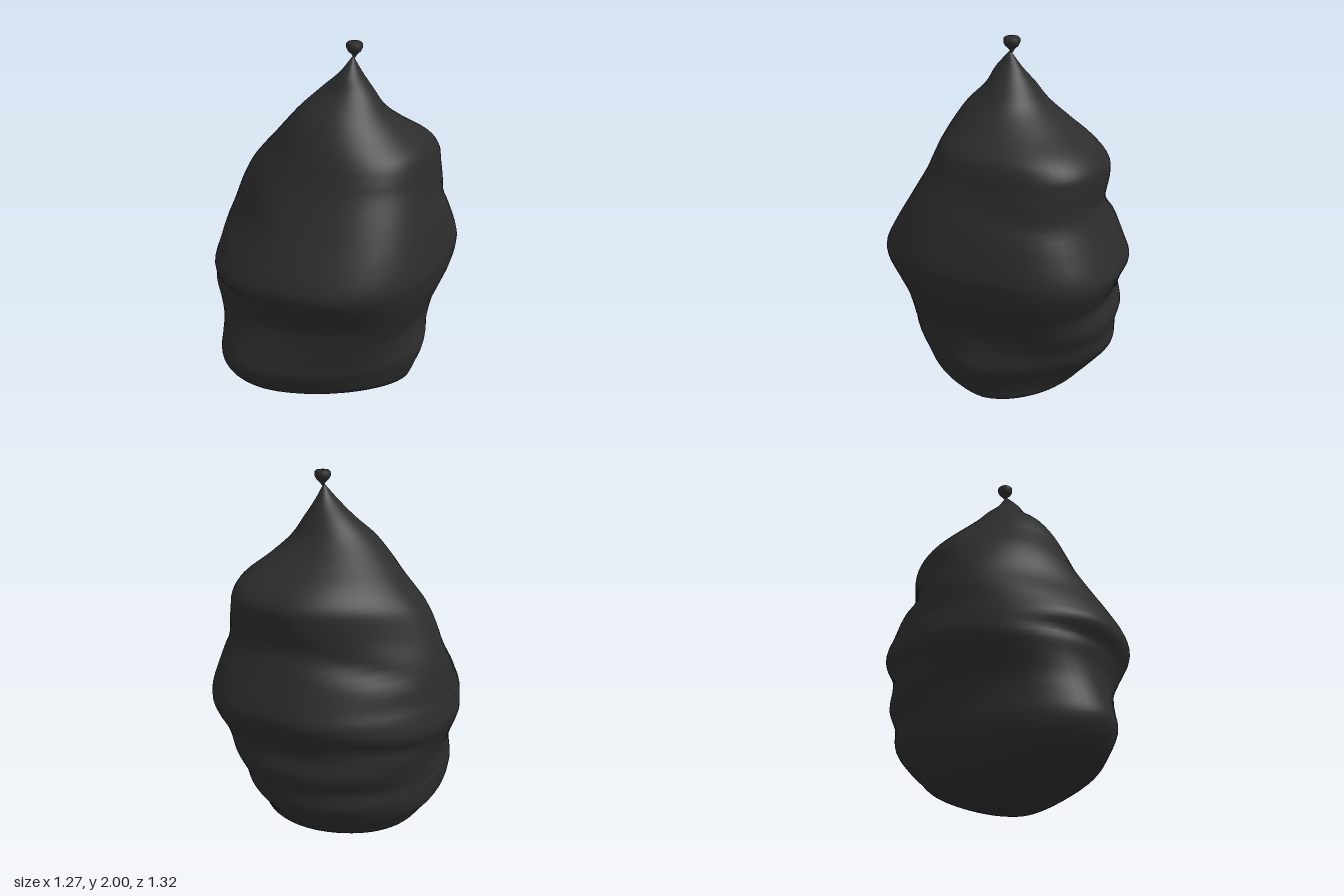
import * as THREE from 'three';

// Heights of the sack with its extents: y, left x, right x, front z, back z
const ROWS = [
  [0.0, 0.02, 0.03, -0.04, -0.05], [0.005, -0.19, 0.22, 0.12, -0.16],
  [0.03, -0.32, 0.35, 0.22, -0.27], [0.08, -0.42, 0.46, 0.36, -0.39],
  [0.14, -0.475, 0.5, 0.52, -0.455], [0.2, -0.52, 0.525, 0.59, -0.515],
  [0.3, -0.54, 0.555, 0.642, -0.59], [0.4, -0.54, 0.535, 0.622, -0.595],
  [0.5, -0.555, 0.535, 0.595, -0.615], [0.61, -0.6, 0.575, 0.582, -0.59],
  [0.71, -0.635, 0.61, 0.615, -0.63], [0.8, -0.625, 0.628, 0.655, -0.66],
  [0.88, -0.61, 0.633, 0.655, -0.64], [1.0, -0.6, 0.61, 0.59, -0.59],
  [1.15, -0.55, 0.57, 0.495, -0.535], [1.3, -0.48, 0.53, 0.405, -0.555],
  [1.38, -0.42, 0.52, 0.367, -0.55], [1.46, -0.345, 0.49, 0.33, -0.48],
  [1.55, -0.26, 0.39, 0.285, -0.35], [1.65, -0.165, 0.29, 0.215, -0.225],
  [1.75, -0.06, 0.215, 0.11, -0.155], [1.84, 0.04, 0.155, 0.05, -0.09],
  [1.92, 0.1, 0.11, -0.025, -0.035],
];

// Corner fullness (superellipse power) and sideways shift of the front bulge
// by height: y, +x+z, -x+z, -x-z, +x-z, shift
const CORNERS = [
  [0.0, 1.7, 2.4, 2, 1.9, -0.08], [0.3, 1.6, 2.4, 1.9, 1.8, -0.18],
  [0.55, 2.4, 2.4, 2.1, 2.9, -0.1], [0.85, 2.55, 2.1, 1.85, 3.4, 0],
  [1.08, 2.75, 1.65, 1.7, 3.2, 0], [1.3, 2.7, 2.05, 1.5, 3, 0],
  [1.6, 2, 2.1, 1.9, 2.2, 0], [1.92, 2, 2, 2, 2, 0],
];

// Folds: mid angle, angular width, height, tilt per radian, thickness, depth
const FOLDS = [
  [2.15, 0.5, 0.73, 0.015, 0.04, -0.022],
  [2.1, 0.5, 0.81, 0.015, 0.05, 0.012],
  [4.15, 0.6, 1.08, 0.12, 0.05, -0.025],
  [4.0, 0.7, 0.66, 0.08, 0.045, -0.02],
  [4.0, 0.7, 0.4, 0.08, 0.045, -0.01],
  [5.95, 0.45, 1.17, 0.12, 0.04, -0.015],
];

function foldOffset(angle, y) {
  let d = 0;
  for (const [mid, width, height, tilt, thick, depth] of FOLDS) {
    const da = Math.atan2(Math.sin(angle - mid), Math.cos(angle - mid));
    const dy = y - height - tilt * da;
    d += depth * Math.exp(-((da / width) ** 2) - (dy / thick) ** 2);
  }
  return d;
}

function sackGeometry(around = 64, perRow = 4) {
  const extents = new THREE.CubicInterpolant(ROWS.map((_, i) => i), ROWS.flat(), 5);
  const corners = new THREE.CubicInterpolant(CORNERS.map((r) => r[0]), CORNERS.flat(), 6);
  const steps = (ROWS.length - 1) * perRow;
  const pos = [], index = [];
  for (let i = 0; i <= steps; i++) {
    const [y, xl, xr, zf, zb] = extents.evaluate(i / perRow);
    const shape = corners.evaluate(THREE.MathUtils.clamp(y, 0, 1.919));
    // Keep the shift in proportion on the small rings of the underside
    const shift = shape[5] * Math.min(1, xr - xl);
    for (let j = 0; j < around; j++) {
      const t = (j / around) * Math.PI * 2, c = Math.cos(t), s = Math.sin(t);
      const n = shape[1 + Math.floor((j * 4) / around)];
      const r = (Math.abs(c) ** n + Math.abs(s) ** n) ** (-1 / n);
      const f = foldOffset(t, y);
      const cx = (xl + xr) / 2 + (j < around / 2 ? shift : 0), cz = (zf + zb) / 2;
      const halfX = c > 0 ? xr - cx : cx - xl;
      pos.push(cx + (halfX * r + f) * c, Math.max(0, y), cz + ((zf - zb) / 2 * r + f) * s);
      if (i < steps) {
        const a = i * around + j, b = i * around + ((j + 1) % around);
        index.push(a, a + around, b, b, a + around, b + around);
      }
    }
  }
  const g = new THREE.BufferGeometry();
  g.setAttribute('position', new THREE.Float32BufferAttribute(pos, 3));
  g.setIndex(index);
  g.computeVertexNormals();
  return g;
}

export function createModel() {
  const group = new THREE.Group();
  const material = new THREE.MeshStandardMaterial({ color: 0x2c2c2c, side: THREE.DoubleSide });

  // Slumped, creased sack
  const sack = new THREE.Mesh(sackGeometry(), material);
  sack.name = 'sack';
  group.add(sack);

  // Tied end above the pinched neck
  const profile = [[0.004, 1.915], [0.016, 1.933], [0.034, 1.95], [0.043, 1.968],
    [0.043, 1.988], [0.034, 1.997], [0, 2]].map(([x, y]) => new THREE.Vector2(x, y));
  const knot = new THREE.Mesh(new THREE.LatheGeometry(profile, 16), material);
  knot.name = 'knot';
  knot.position.set(0.108, 0, -0.04);
  group.add(knot);

  return group;
}
